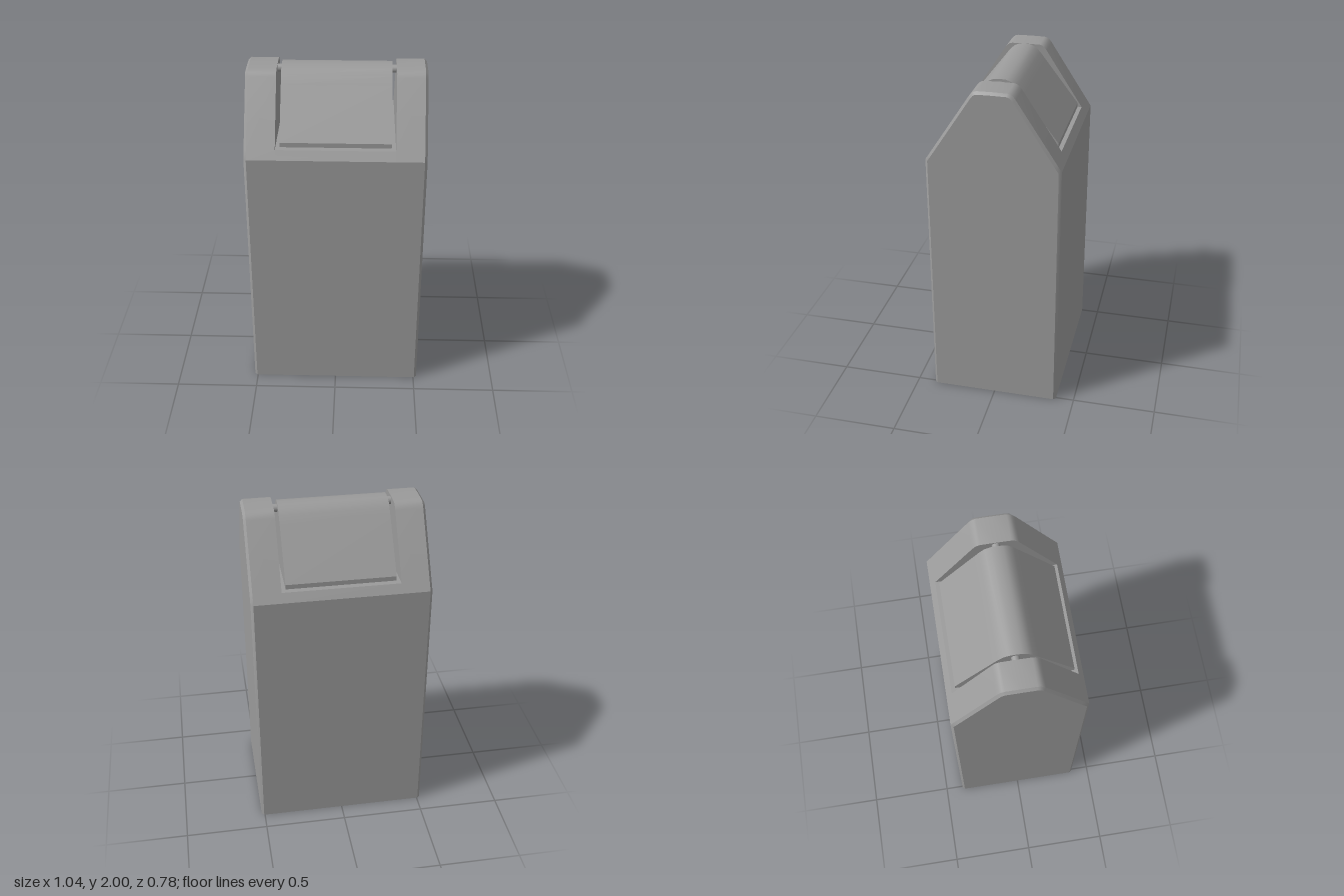
import * as THREE from 'three';
import { mergeGeometries, toCreasedNormals } from 'three/addons/utils/BufferGeometryUtils.js';

const material = new THREE.MeshStandardMaterial({ color: 0x9a9a9a });
const CUT_Y = 1.61; // floor of the lid opening
const CUT_X = 0.342; // half width of the lid opening

// Mirror the front half of a [z, y] profile to the back
const mirrorProfile = (half) => [
  ...half,
  ...half.filter(([z]) => z > 0).reverse().map(([z, y]) => [-z, y]),
];

// Shrink a convex profile by d, keeping its base on the ground
function inset(profile, d) {
  const n = profile.length;
  const normal = (a, b) => new THREE.Vector2(b[1] - a[1], a[0] - b[0]).normalize();
  return profile.map((p, i) => {
    const a = normal(profile[(i + n - 1) % n], p);
    const b = normal(p, profile[(i + 1) % n]);
    const k = d / (1 + a.dot(b));
    return [p[0] - k * (a.x + b.x), p[1] === 0 ? 0 : p[1] - k * (a.y + b.y)];
  });
}

// Skin profiles placed along x (ascending); optional cap polygons close the ends
function loft(sections, capLow, capHigh) {
  const pos = [];
  const tri = (...corners) => corners.forEach(([x, p]) => pos.push(x, p[1], p[0]));
  for (let j = 0; j < sections.length - 1; j++) {
    const [x0, p] = sections[j];
    const [x1, q] = sections[j + 1];
    p.forEach((_, i) => {
      const k = (i + 1) % p.length;
      tri([x0, p[i]], [x1, q[i]], [x1, q[k]]);
      tri([x0, p[i]], [x1, q[k]], [x0, p[k]]);
    });
  }
  const cap = (x, c, flip) => {
    for (let k = 1; k < c.length - 1; k++) {
      tri([x, c[0]], [x, c[flip ? k + 1 : k]], [x, c[flip ? k : k + 1]]);
    }
  };
  if (capLow) cap(sections[0][0], capLow, false);
  if (capHigh) cap(sections.at(-1)[0], capHigh, true);
  const g = new THREE.BufferGeometry();
  g.setAttribute('position', new THREE.Float32BufferAttribute(pos, 3));
  return g;
}

function addMesh(parent, name, geometry) {
  const mesh = new THREE.Mesh(geometry, material);
  mesh.name = name;
  parent.add(mesh);
  return mesh;
}

export function createModel() {
  const group = new THREE.Group();
  group.name = 'swingTopBin';

  // Body: chamfered ends with gabled tops, lower middle forming the opening
  const gable = mirrorProfile([
    [0.39, 0], [0.39, 1.56], [0.357, CUT_Y],
    [0.13, 1.958], [0.115, 1.977], [0.1, 1.987], [0.085, 1.991], [0, 1.992],
  ]);
  const middle = mirrorProfile([[0.39, 0], [0.39, 1.56], [0.357, CUT_Y]]);
  const end = inset(gable, 0.015);
  const cheek = gable.filter(([, y]) => y >= CUT_Y); // inner wall of the opening
  const body = mergeGeometries([
    loft([[-0.52, end], [-0.505, gable], [-CUT_X, gable]], end, cheek),
    loft([[-CUT_X, middle], [CUT_X, middle]]),
    loft([[CUT_X, gable], [0.505, gable], [0.52, end]], cheek, end),
  ]);
  addMesh(group, 'body', toCreasedNormals(body, 0.5));

  // Swinging lid: rounded ridge, sloping a little below the cheeks towards the top
  const lid = mirrorProfile([
    [0.335, 1.618], [0.335, 1.645], [0.13, 1.91],
    [0.095, 1.955], [0.065, 1.985], [0.035, 1.997], [0, 2],
  ]);
  addMesh(group, 'lid', toCreasedNormals(loft([[-0.317, lid], [0.317, lid]], lid, lid), 0.5));

  // Hinge pins bridging the gap
  for (const side of [-1, 1]) {
    const pin = addMesh(group, side > 0 ? 'leftHingePin' : 'rightHingePin',
      new THREE.CylinderGeometry(0.023, 0.023, 0.04, 24));
    pin.rotation.z = Math.PI / 2;
    pin.position.set(side * 0.33, 1.963, 0);
  }
  return group;
}
